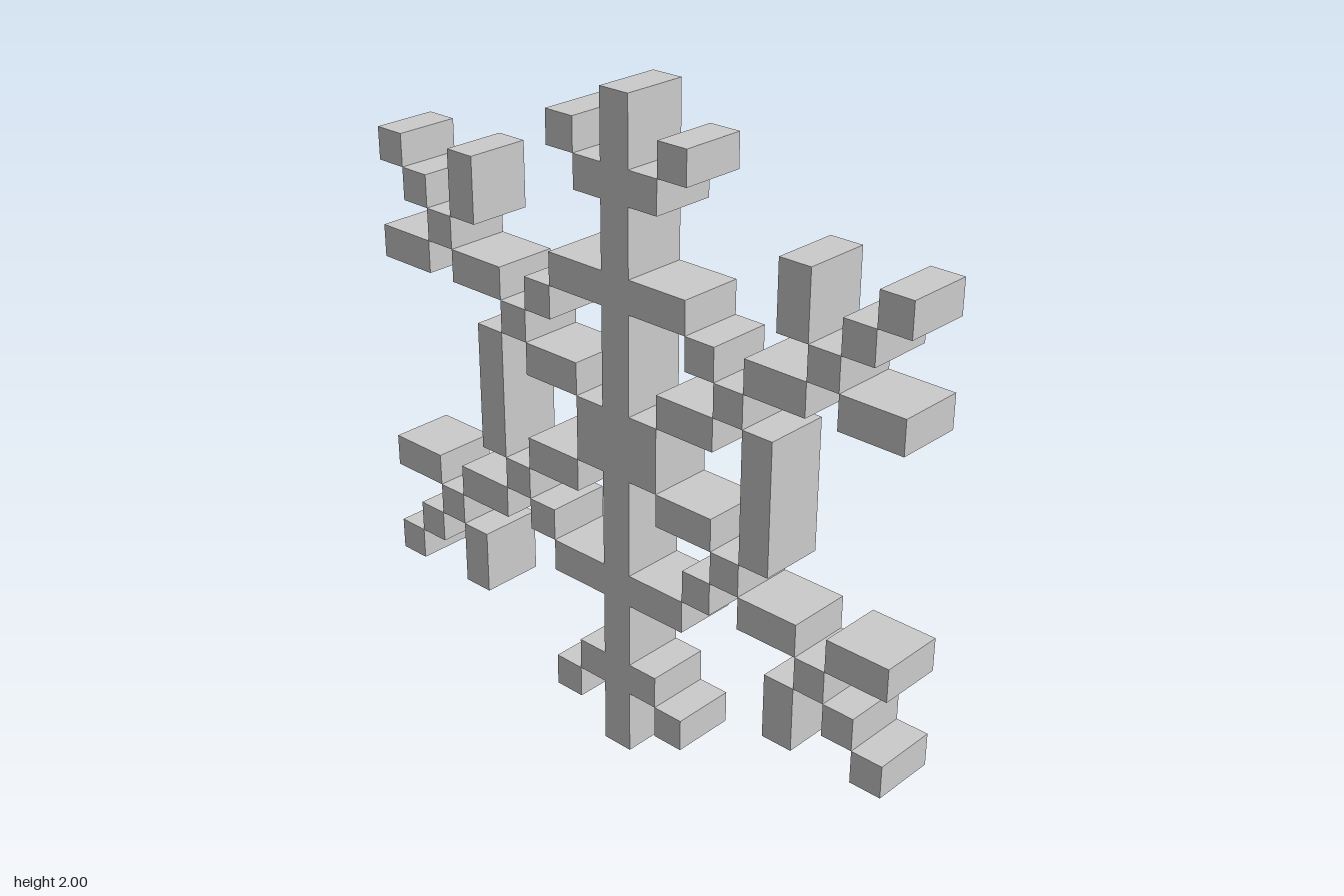
import * as THREE from 'three';

const DEPTH = 0.2;
const CENTER_Y = 1;

export function createModel() {
  const group = new THREE.Group();
  group.name = 'snowflake';
  const material = new THREE.MeshStandardMaterial({ color: 0xcccccc, flatShading: true });

  // Block spanning x0..x1 and y0..y1, with y measured from the centre
  function block(name, x0, x1, y0, y1) {
    const mesh = new THREE.Mesh(new THREE.BoxGeometry(x1 - x0, y1 - y0, DEPTH), material);
    mesh.position.set((x0 + x1) / 2, CENTER_Y + (y0 + y1) / 2, 0);
    mesh.name = name;
    group.add(mesh);
  }

  // Vertical stem through the middle
  block('stem', -0.05, 0.05, -1, 1);

  // Blocks of one quarter: name, x0, x1, y0, y1
  const quarter = [
    ['tipTwig', 0.05, 0.15, 0.7, 0.8],
    ['tipTwigEnd', 0.15, 0.25, 0.8, 0.9],
    ['crossBar', 0.05, 0.25, 0.4, 0.5],
    ['crossBarEnd', 0.25, 0.35, 0.3, 0.4],
    ['innerArm', 0.15, 0.35, 0.1, 0.2],
    ['armJoint', 0.35, 0.45, 0.2, 0.3],
    ['outerArm', 0.45, 0.65, 0.3, 0.4],
    ['armStepLow', 0.65, 0.75, 0.4, 0.5],
    ['armStepMiddle', 0.75, 0.85, 0.5, 0.6],
    ['armStepEnd', 0.85, 0.95, 0.6, 0.7],
    ['horizontalBranch', 0.75, 0.95, 0.3, 0.4],
    ['verticalBranch', 0.55, 0.65, 0.5, 0.7],
  ];

  for (const sx of [1, -1]) {
    const side = sx > 0 ? 'left' : 'right';
    const span = (a, b, s) => (s > 0 ? [a, b] : [-b, -a]);

    // Hub half and upright bar on each side
    block(`${side}Hub`, ...span(0.05, 0.15, sx), -0.1, 0.1);
    block(`${side}SideBar`, ...span(0.45, 0.55, sx), -0.2, 0.2);

    // Mirrored quarters above and below
    for (const sy of [1, -1]) {
      const level = sy > 0 ? 'Upper' : 'Lower';
      for (const [name, x0, x1, y0, y1] of quarter) {
        const part = name[0].toUpperCase() + name.slice(1);
        block(side + level + part, ...span(x0, x1, sx), ...span(y0, y1, sy));
      }
    }
  }
  return group;
}
